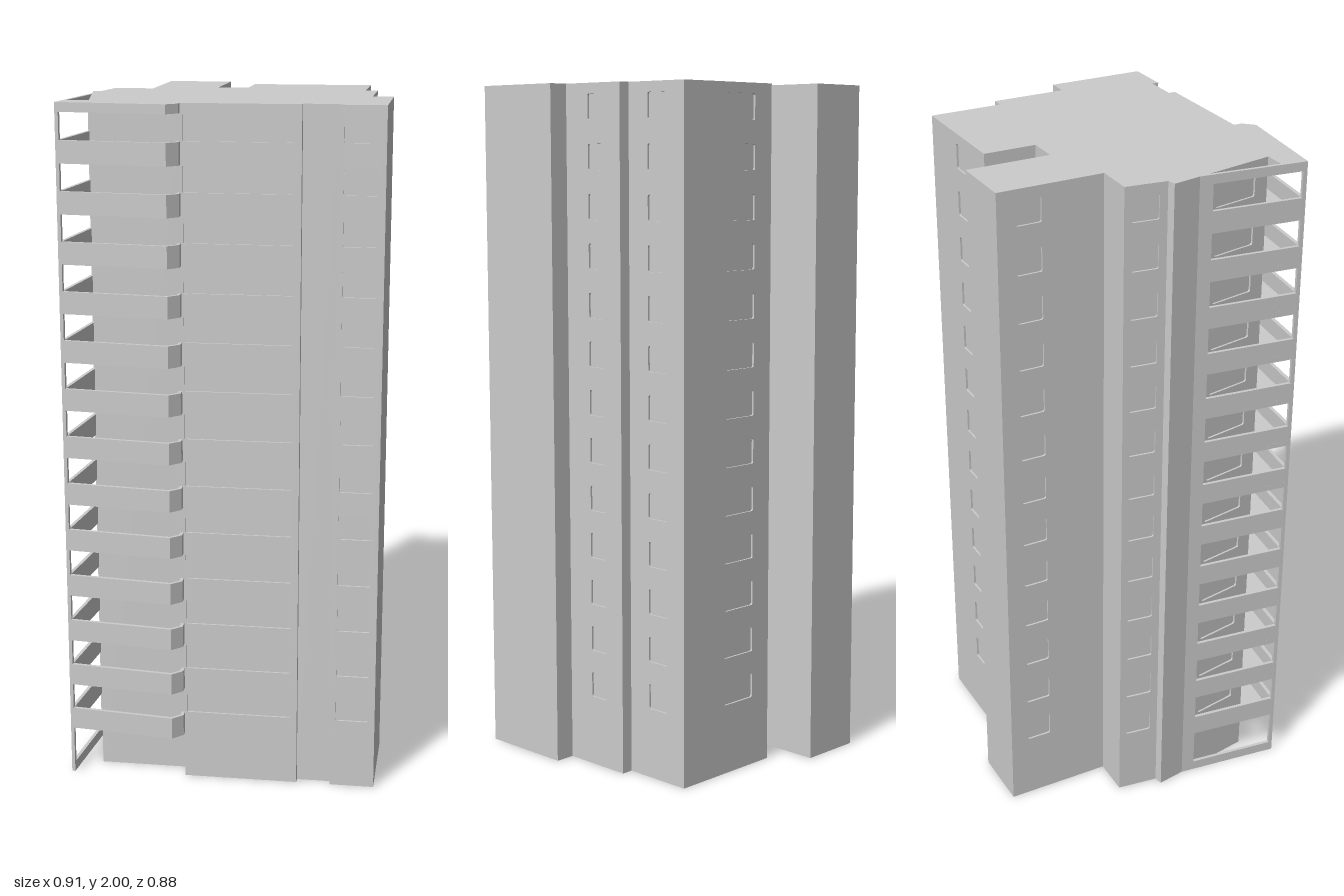
import * as THREE from 'three';

const H = 2, FLOORS = 13, STEP = 0.1408;
const BAND0 = 0.143, SILL0 = 0.207, WIN_H = 0.074;

// Footprint as [x, z], walked so that outward lies to the right of travel,
// with an optional window span [start, end] along the wall that begins there
const FOOTPRINT = [
  [-0.375, 0.325], [-0.11, 0.325], [-0.11, 0.38, [0.005, 0.315]], [0.225, 0.38],
  [0.225, 0.36], [0.325, 0.36], [0.325, 0.38, [0.015, 0.11]], [0.455, 0.38],
  [0.455, 0.09], [0.395, 0.09, [0.09, 0.155]], [0.395, -0.13], [0.36, -0.13, [0.075, 0.15]],
  [0.36, -0.345, [0.17, 0.29]], [0, -0.345], [0, -0.19], [-0.09, -0.19],
  [-0.09, -0.44], [-0.28, -0.44, [0.055, 0.13]], [-0.28, -0.125], [-0.395, -0.127, [0.02, 0.1]],
  [-0.41, -0.005], [-0.435, 0], [-0.42, 0.085, [0.06, 0.2]],
];

const material = new THREE.MeshStandardMaterial({ color: 0xcccccc, side: THREE.DoubleSide });

function mesh(name, geometry) {
  const m = new THREE.Mesh(geometry, material);
  m.name = name;
  return m;
}

// Rectangle with small rounded corners
function rounded(Type, x0, y0, x1, y1, r = 0.006) {
  const s = new Type();
  s.moveTo(x0 + r, y0);
  s.lineTo(x1 - r, y0); s.quadraticCurveTo(x1, y0, x1, y0 + r);
  s.lineTo(x1, y1 - r); s.quadraticCurveTo(x1, y1, x1 - r, y1);
  s.lineTo(x0 + r, y1); s.quadraticCurveTo(x0, y1, x0, y1 - r);
  s.lineTo(x0, y0 + r); s.quadraticCurveTo(x0, y0, x0 + r, y0);
  return s;
}

// Upright wall from p to q, thickened inward, with openings [u0, v0, u1, v1]
function wall(name, p, q, openings, thick, glazed) {
  const dx = q[0] - p[0], dz = q[1] - p[1], len = Math.hypot(dx, dz);
  const shape = new THREE.Shape([[0, 0], [len, 0], [len, H], [0, H]].map(a => new THREE.Vector2(...a)));
  const g = new THREE.Group();
  g.name = name;
  for (const o of openings) {
    shape.holes.push(rounded(THREE.Path, ...o, glazed ? 0.006 : 0.001));
    if (glazed) {
      const pane = mesh('windowPane', new THREE.ShapeGeometry(rounded(THREE.Shape, ...o), 3));
      pane.position.z = -thick;
      g.add(pane);
    }
  }
  const geo = new THREE.ExtrudeGeometry(shape, { depth: thick, bevelEnabled: false, curveSegments: 3 });
  geo.translate(0, 0, -thick);
  g.add(mesh(name + 'Panel', geo));
  g.position.set(p[0], 0, p[1]);
  g.rotation.y = Math.atan2(-dz, dx);
  return g;
}

const planShape = pts => new THREE.Shape(pts.map(p => new THREE.Vector2(p[0], -p[1])));

// Horizontal plate with its underside at y
function plate(name, pts, y, height) {
  const geo = new THREE.ExtrudeGeometry(planShape(pts), { depth: height, bevelEnabled: false });
  geo.rotateX(-Math.PI / 2);
  const m = mesh(name, geo);
  m.position.y = y;
  return m;
}

export function createModel() {
  const model = new THREE.Group();
  model.name = 'apartmentTower';

  // Hollow shell of walls, open underneath, with a window per floor
  FOOTPRINT.forEach((p, i) => {
    const q = FOOTPRINT[(i + 1) % FOOTPRINT.length];
    const openings = [];
    if (p[2]) for (let k = 0; k < FLOORS; k++) {
      const y = SILL0 + k * STEP;
      openings.push([p[2][0], y, p[2][1], y + WIN_H]);
    }
    model.add(wall('wall', p, q, openings, 0.006, true));
  });

  // Flat roof
  const roof = new THREE.ShapeGeometry(planShape(FOOTPRINT));
  roof.rotateX(-Math.PI / 2);
  roof.translate(0, H, 0);
  model.add(mesh('roof', roof));

  // Balcony floors and parapets wrapping the front corner
  const floor = [[-0.447, 0.325], [-0.455, 0.4], [-0.14, 0.435], [-0.11, 0.405], [-0.11, 0.325]];
  const parapet = [[-0.455, 0.4], [-0.14, 0.435], [-0.11, 0.405], [-0.11, 0.38],
    [-0.12, 0.38], [-0.12, 0.402], [-0.143, 0.424], [-0.454, 0.389]];
  for (let k = 0; k < FLOORS; k++) {
    const y = BAND0 + k * STEP;
    model.add(plate('balconyFloor', floor, y, 0.016));
    model.add(plate('balconyParapet', parapet, y, SILL0 - BAND0));
  }
  model.add(plate('balconyCanopy', floor, BAND0 + FLOORS * STEP, H - BAND0 - FLOORS * STEP));

  // Open side frame standing free of the slanted wall
  const gaps = [[0.04, 0.03, 0.305, BAND0]];
  for (let k = 0; k < FLOORS; k++) {
    const y = SILL0 + k * STEP;
    gaps.push([0.04, y, 0.305, BAND0 + (k + 1) * STEP]);
  }
  model.add(wall('balconySideFrame', [-0.42, 0.085], [-0.455, 0.4], gaps, 0.01, false));

  return model;
}
